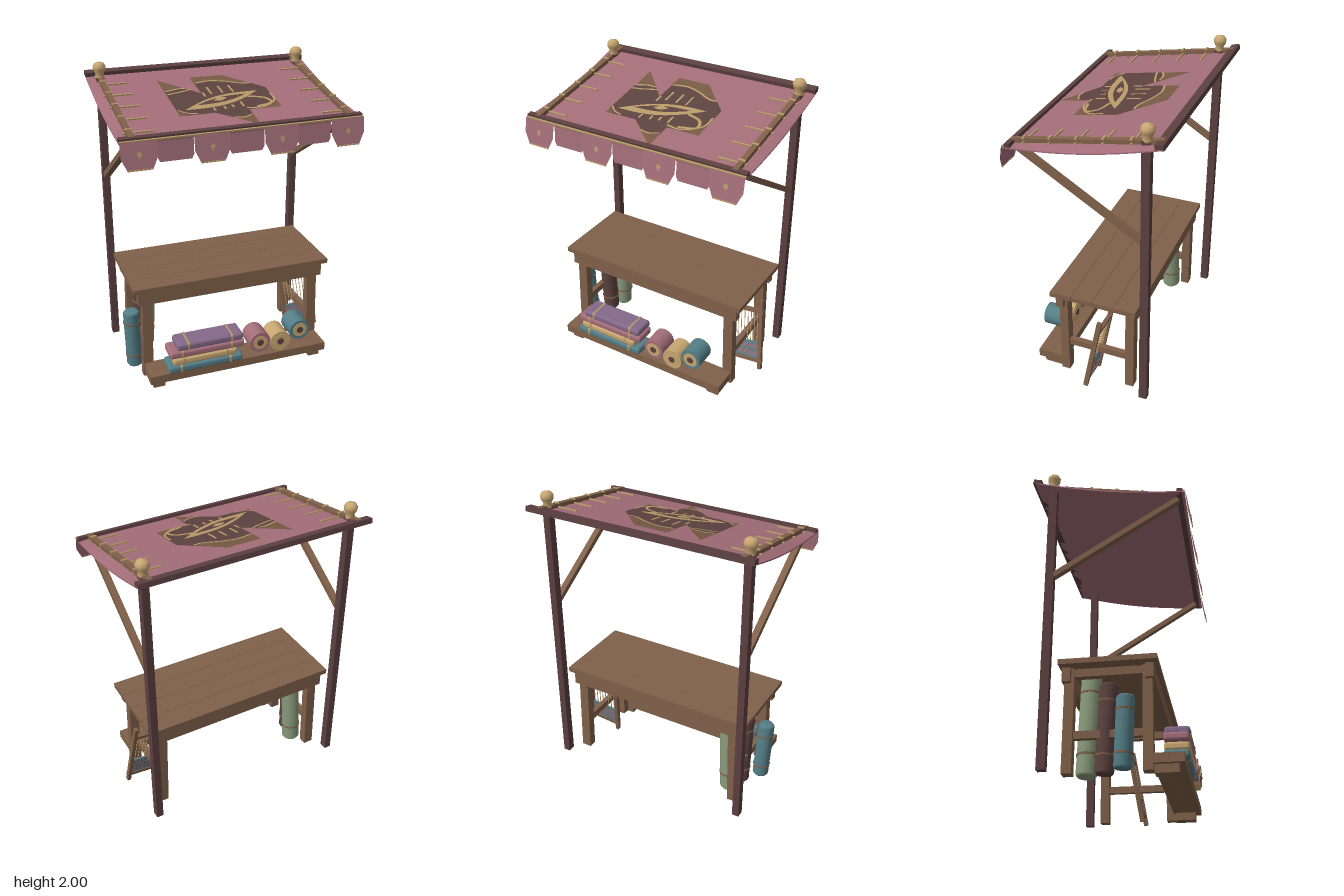
import * as THREE from 'three';
import { RoundedBoxGeometry } from 'three/addons/geometries/RoundedBoxGeometry.js';

const mat = (name, color, side = THREE.FrontSide) => {
  const m = new THREE.MeshStandardMaterial({ color, side });
  m.name = name;
  return m;
};

export function createModel() {
  const root = new THREE.Group();
  root.name = 'marketStall';
  const wood = mat('wood', 0x80614a);
  const darkWood = mat('darkWood', 0x5c4040);
  const cloth = mat('pinkCloth', 0xa46e79, THREE.DoubleSide);
  const gold = mat('gold', 0xb89a68, THREE.DoubleSide);
  const tan = mat('tan', 0xc8a672);
  const teal = mat('teal', 0x557f88);
  const sage = mat('sage', 0x8a9b7c);
  const purple = mat('purple', 0x84698a);
  const maroon = mat('maroon', 0x5d4340, THREE.DoubleSide);
  const olive = mat('oliveBrown', 0x775b44, THREE.DoubleSide);

  const add = (parent, name, geo, m, x = 0, y = 0, z = 0) => {
    const mesh = new THREE.Mesh(geo, m);
    mesh.name = name;
    mesh.position.set(x, y, z);
    parent.add(mesh);
    return mesh;
  };
  const box = (parent, name, m, w, h, d, x, y, z) =>
    add(parent, name, new THREE.BoxGeometry(w, h, d), m, x, y, z);
  const group = (parent, name, x = 0, y = 0, z = 0) => {
    const g = new THREE.Group();
    g.name = name;
    g.position.set(x, y, z);
    parent.add(g);
    return g;
  };
  const UP = new THREE.Vector3(0, 1, 0);
  // square beam between two points
  const beam = (parent, name, m, a, b, w, d) => {
    const A = new THREE.Vector3(...a), B = new THREE.Vector3(...b);
    const dir = B.clone().sub(A);
    const mesh = box(parent, name, m, w, dir.length(), d, 0, 0, 0);
    mesh.position.copy(A.add(B).multiplyScalar(0.5));
    mesh.quaternion.setFromUnitVectors(UP, dir.normalize());
  };

  // posts, finials and canopy braces
  const knob = [[0, 1.885], [0.026, 1.89], [0.032, 1.905], [0.024, 1.92], [0.04, 1.95], [0.042, 1.97], [0.03, 1.99], [0, 2]];
  for (const s of [-1, 1]) {
    box(root, 'post', darkWood, 0.046, 1.88, 0.052, s * 0.68, 0.96, -0.376);
    const k = new THREE.LatheGeometry(knob.map(p => new THREE.Vector2(...p)), 10);
    add(root, 'finial', k, tan, s * 0.68, 0, -0.378);
    beam(root, 'brace', wood, [s * 0.68, 1.24, -0.36], [s * 0.68, 1.72, 0.42], 0.04, 0.034);
  }

  // canopy, built flat and pitched forward
  const canopy = group(root, 'canopy', 0, 1.81, -0.01);
  canopy.rotation.x = 0.179;
  const sheet = new THREE.BoxGeometry(1.514, 0.008, 0.96, 28, 1, 16);
  const p = sheet.attributes.position;
  for (let i = 0; i < p.count; i++) {
    const edge = Math.max(0, (Math.abs(p.getX(i)) - 0.64) / 0.117);
    p.setY(i, p.getY(i) - 0.03 * edge * edge * Math.cos(p.getZ(i) / 0.48 * Math.PI / 2));
  }
  sheet.computeVertexNormals();
  add(canopy, 'canopyCloth', sheet, cloth);
  box(canopy, 'backBar', darkWood, 1.514, 0.032, 0.052, 0, 0.012, -0.468);
  box(canopy, 'frontBar', darkWood, 1.514, 0.03, 0.034, 0, 0.008, 0.448);
  box(canopy, 'frontTrim', gold, 1.514, 0.012, 0.012, 0, 0.008, 0.474);
  // flat plate lying on the cloth, from [x, z] points
  const plate = (name, m, pts, y) => {
    const g = new THREE.ShapeGeometry(new THREE.Shape(pts.map(([x, z]) => new THREE.Vector2(x, -z))));
    g.rotateX(-Math.PI / 2);
    add(canopy, name, g, m, 0, y, 0.01);
  };
  const zs = [-0.3, -0.135, 0.03, 0.195, 0.36];
  for (const s of [-1, 1]) {
    box(canopy, 'sideRail', wood, 0.034, 0.026, 0.93, s * 0.68, 0.016, -0.01);
    for (const z of zs) {
      box(canopy, 'tie', gold, 0.185, 0.008, 0.011, s * 0.62, 0.008, z + 0.01);
      box(canopy, 'tieLoop', gold, 0.04, 0.01, 0.014, s * 0.68, 0.03, z + 0.01);
      plate('clothPatch', cloth, [[0.56, z - 0.08], [0.66, z - 0.085], [0.66, z - 0.05], [0.62, z - 0.025], [0.56, z - 0.055]]
        .map(([x, q]) => [s * x, q]), 0.007);
    }
  }

  // woven emblem
  plate('emblemBase', olive, [[-0.33, -0.3], [-0.11, -0.06], [-0.11, -0.3], [0.11, -0.3], [0.325, -0.06], [0.325, 0.22],
    [0.11, 0.22], [0.11, 0.42], [-0.11, 0.22], [-0.33, 0.22]], 0.006);
  plate('emblemField', maroon, [[-0.33, -0.11], [-0.2, -0.155], [-0.115, -0.06], [-0.105, -0.06], [-0.105, -0.2], [0, -0.215],
    [0.1, -0.19], [0.2, -0.14], [0.245, -0.15], [0.325, -0.06], [0.325, 0.08], [0.3, 0.15], [0.2, 0.21],
    [0.11, 0.22], [0.11, 0.3], [0, 0.315], [-0.11, 0.22], [-0.28, 0.22], [-0.33, 0.16]], 0.008);
  const ribbon = (pts, w) => {
    const c = new THREE.CatmullRomCurve3(pts.map(([x, z]) => new THREE.Vector3(x, 0, z)));
    const a = [], b = [];
    for (let i = 0; i <= 12; i++) {
      const q = c.getPoint(i / 12), t = c.getTangent(i / 12);
      a.push([q.x - t.z * w / 2, q.z + t.x * w / 2]);
      b.unshift([q.x + t.z * w / 2, q.z - t.x * w / 2]);
    }
    plate('emblemLine', gold, [...a, ...b], 0.0105);
  };
  ribbon([[-0.325, -0.115], [-0.25, -0.14], [-0.19, -0.14]], 0.013);
  ribbon([[-0.325, -0.075], [-0.25, -0.09], [-0.16, -0.12]], 0.013);
  ribbon([[-0.1, -0.205], [0, -0.22], [0.1, -0.19], [0.2, -0.14], [0.25, -0.14]], 0.014);
  ribbon([[-0.02, 0.305], [0.04, 0.315], [0.105, 0.29]], 0.012);
  ribbon([[0.318, 0.03], [0.31, 0.13], [0.2, 0.21], [0.1, 0.2]], 0.014);
  ribbon([[0.16, 0.05], [0.26, 0.09], [0.28, 0.16], [0.17, 0.195]], 0.02);
  ribbon([[-0.325, 0.15], [-0.28, 0.195], [-0.22, 0.215]], 0.012);
  for (const [x, a, b] of [[-0.1, -0.06, 0], [-0.05, -0.13, -0.03], [0.025, -0.13, -0.03], [0.095, -0.13, -0.03],
    [-0.1, 0.16, 0.2], [-0.03, 0.15, 0.19], [0.025, 0.14, 0.18], [0.09, 0.11, 0.18]]) ribbon([[x, a], [x, b]], 0.014);
  const lens = (m, [x0, z0], [x1, z1], h, y) => {
    const pts = [];
    for (let i = 0; i < 28; i++) {
      const t = i < 14 ? i / 14 : (28 - i) / 14, k = Math.sin(t * Math.PI) * (i < 14 ? h : -h);
      pts.push([x0 + (x1 - x0) * t + k * 0.3, z0 + (z1 - z0) * t + k]);
    }
    plate('emblemShuttle', m, pts, y);
  };
  lens(gold, [-0.28, 0.16], [0.25, -0.015], 0.06, 0.0125);
  lens(maroon, [-0.19, 0.115], [0.16, 0.02], 0.03, 0.0145);
  lens(gold, [-0.07, 0.075], [0.02, 0.05], 0.02, 0.0165);

  // valance: alternating long and short flaps
  const flat = pts => new THREE.ShapeGeometry(new THREE.Shape(pts.map(q => new THREE.Vector2(...q))));
  for (let i = 0; i < 7; i++) {
    const long = i % 2 === 0;
    const flap = group(root, 'valanceFlap', (i - 3) * 0.2163, 1.735, long ? 0.468 : 0.458);
    flap.rotation.x = long ? -0.17 : -0.08;
    add(flap, 'flapCloth', flat(long
      ? [[-0.108, 0], [-0.108, -0.09], [-0.073, -0.166], [0.073, -0.166], [0.108, -0.09], [0.108, 0]]
      : [[-0.108, 0], [-0.108, -0.11], [-0.095, -0.136], [0.095, -0.136], [0.108, -0.11], [0.108, 0]]), cloth);
    if (long) {
      box(flap, 'flapHem', gold, 0.144, 0.007, 0.004, 0, -0.161, 0.001);
      add(flap, 'flapDiamond', flat([[0, -0.055], [-0.017, -0.072], [0, -0.1], [0.017, -0.072]]), gold, 0, 0, 0.003);
    }
  }

  // table
  const table = group(root, 'table');
  for (let i = 0; i < 4; i++) box(table, 'topPlank', wood, 1.35, 0.032, 0.143, 0, 0.67, -0.2375 + i * 0.145);
  for (const z of [0.22, -0.265]) {
    box(table, 'apron', wood, 1.284, 0.088, 0.05, 0, 0.602, z);
    for (const s of [-1, 1]) {
      const zi = z - Math.sign(z) * 0.014;
      beam(table, 'leg', wood, [s * 0.592, 0.015, zi], [s * 0.578, 0.65, zi], 0.066, 0.058);
    }
  }
  for (const s of [-1, 1]) {
    box(table, 'sideStretcher', wood, 0.035, 0.046, 0.41, s * 0.585, 0.243, -0.025);
    box(table, 'topSupport', wood, 0.045, 0.05, 0.44, s * 0.575, 0.625, -0.02);
    box(table, 'shelfFoot', wood, 0.08, 0.05, 0.135, s * 0.555, 0.03, 0.305);
  }
  for (const z of [0.271, 0.361]) box(table, 'shelfPlank', wood, 1.24, 0.056, 0.089, 0, 0.084, z);

  // folded cloth bolts with straps
  for (const [m, x, w, y] of [[teal, -0.245, 0.51, 0.143], [tan, -0.25, 0.44, 0.198],
    [cloth, -0.235, 0.51, 0.25], [purple, -0.215, 0.45, 0.302]]) {
    add(root, 'foldedCloth', new RoundedBoxGeometry(w, 0.052, 0.15, 2, 0.018), m, x, y, 0.35);
    for (const s of [-1, 1])
      add(root, 'clothStrap', new RoundedBoxGeometry(0.028, 0.056, 0.154, 2, 0.018), gold, x + s * w * 0.33, y, 0.35);
  }

  // thread spools lying with ends to the front
  for (const [m, x, y] of [[cloth, 0.13, 0.23], [tan, 0.275, 0.21], [teal, 0.415, 0.27]]) {
    const spool = group(root, 'spool', x, y, 0.352);
    spool.rotation.x = Math.PI / 2;
    for (const [name, r, len, c] of [['spoolThread', 0.072, 0.148, m], ['spoolEnd', 0.05, 0.154, tan], ['spoolCore', 0.023, 0.16, maroon]])
      add(spool, name, new THREE.CylinderGeometry(r, r, len, 18), c);
  }

  // standing cloth rolls
  for (const [m, a, b, r] of [[teal, [-0.645, 0.02, 0.07], [-0.66, 0.44, 0.088], 0.054],
    [maroon, [-0.55, 0.02, -0.05], [-0.56, 0.555, -0.025], 0.056],
    [sage, [-0.515, 0.02, -0.158], [-0.485, 0.652, -0.142], 0.062]]) {
    const A = new THREE.Vector3(...a), dir = new THREE.Vector3(...b).sub(A), L = dir.length();
    const roll = group(root, 'clothRoll', ...a);
    roll.quaternion.setFromUnitVectors(UP, dir.normalize());
    const prof = [[0, 0], [r * 0.82, 0], [r, 0.014], [r, L - 0.014], [r * 0.82, L], [0, L]];
    add(roll, 'rollCloth', new THREE.LatheGeometry(prof.map(q => new THREE.Vector2(...q)), 16), m);
    for (const t of [0.2, 0.8])
      add(roll, 'rollTie', new THREE.CylinderGeometry(r + 0.004, r + 0.004, 0.011, 16), wood, 0, L * t, 0);
  }

  // small leaning hand loom
  const loom = group(root, 'loom', 0.62, 0.015, 0.015);
  loom.rotation.set(-0.165, 0, 0.105);
  for (const s of [-1, 1]) box(loom, 'loomUpright', wood, 0.024, 0.52, 0.03, s * 0.11, 0.26, 0);
  for (const y of [0.06, 0.435]) box(loom, 'loomBar', wood, 0.25, 0.024, 0.026, 0, y, 0);
  for (let i = 0; i < 8; i++) box(loom, 'warpThread', tan, 0.004, 0.36, 0.004, (i - 3.5) * 0.024, 0.25, 0);
  for (let i = 0; i < 5; i++) {
    box(loom, 'wovenStripe', i % 2 ? cloth : teal, 0.19, 0.025, 0.012, 0, 0.085 + i * 0.025, 0);
    for (let j = 0; j < 6; j++)
      box(loom, 'wovenFleck', i % 2 ? teal : cloth, 0.012, 0.009, 0.016, (j - 2.5) * 0.03, 0.085 + i * 0.025, 0);
  }
  return root;
}
